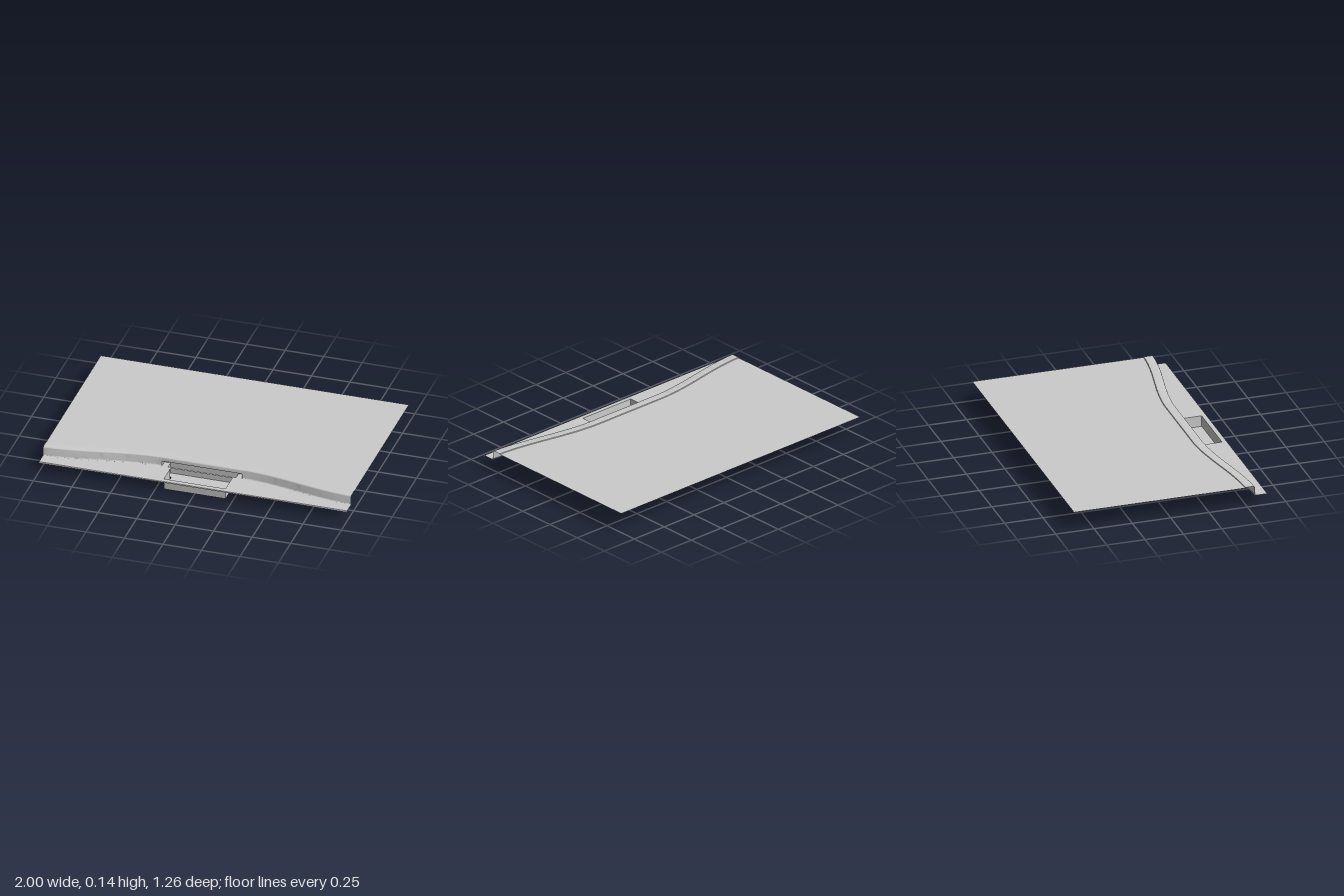
import * as THREE from 'three';
import { toCreasedNormals } from 'three/addons/utils/BufferGeometryUtils.js';

const mat = new THREE.MeshStandardMaterial({ color: 0xcccccc, side: THREE.DoubleSide });
const TOP = 0.135, LEDGE = 0.072, BACK = -0.63, FRONT = 0.626;
const FLAT = 0.28; // half width of the straight middle section

// z of the step's upright face: straight in the middle, sweeping forward to the ends
function stepZ(x) {
  const t = Math.min(1, Math.max(0, (Math.abs(x) - FLAT) / (1 - FLAT)));
  const s = 0.5 - 0.5 * Math.cos(Math.PI * t);
  return 0.45 + 0.1 * (0.75 * s + 0.25 * t);
}

const range = (a, b, n) => Array.from({ length: n + 1 }, (_, i) => a + ((b - a) * i) / n);

// Surface swept along x; profile(x) lists [z, y] from back to front
function sweep(xs, profile) {
  const pos = [], idx = [];
  const rows = xs.map(profile), n = rows[0].length;
  rows.forEach((row, i) => row.forEach(([z, y]) => pos.push(xs[i], y, z)));
  for (let i = 0; i < xs.length - 1; i++) {
    for (let j = 0; j < n - 1; j++) {
      const a = i * n + j, b = a + 1, c = a + n, d = c + 1;
      idx.push(a, b, d, a, d, c);
    }
  }
  const g = new THREE.BufferGeometry();
  g.setAttribute('position', new THREE.Float32BufferAttribute(pos, 3));
  g.setIndex(idx);
  return toCreasedNormals(g, 0.6);
}

// Rounded upper edge of the step, starting at the seam with the sheet
function nosing(x) {
  const z = stepZ(x), r = 0.012;
  const pts = [[z - 0.065, TOP - 0.004], [z - 0.062, TOP]];
  for (const a of range(0, Math.PI / 2, 5)) {
    pts.push([z - r + r * Math.sin(a), TOP - r + r * Math.cos(a)]);
  }
  return pts;
}

// Full step: nosing, upright and a small fillet onto the ledge
function fullStep(x) {
  const z = stepZ(x), r = 0.008;
  const fillet = range(0, Math.PI / 2, 3).map((a) => [z + r - r * Math.cos(a), LEDGE + r - r * Math.sin(a)]);
  return [...nosing(x), ...fillet];
}

// Flat horizontal surface from an outline of [x, z], with optional holes
function plate(outline, y, holes = []) {
  const toV = (p) => p.map(([x, z]) => new THREE.Vector2(x, -z));
  const shape = new THREE.Shape(toV(outline));
  holes.forEach((h) => shape.holes.push(new THREE.Path(toV(h))));
  return new THREE.ShapeGeometry(shape).rotateX(-Math.PI / 2).translate(0, y, 0);
}

const rect = (x0, x1, z0, z1) => [[x0, z1], [x1, z1], [x1, z0], [x0, z0]];

export function createModel() {
  const model = new THREE.Group();
  const add = (name, geometry, parent = model) => {
    const mesh = new THREE.Mesh(geometry, mat);
    mesh.name = name;
    parent.add(mesh);
    return mesh;
  };
  // Upright panel facing front or back, and one facing sideways
  const crossWall = (name, w, y0, y1, z, parent) =>
    add(name, new THREE.PlaneGeometry(w, y1 - y0).translate(0, (y0 + y1) / 2, z), parent);
  const sideWalls = (name, x, y0, y1, z0, z1, parent) => {
    for (const s of [-1, 1]) {
      add(name, new THREE.PlaneGeometry(z1 - z0, y1 - y0)
        .rotateY((s * Math.PI) / 2)
        .translate(s * x, (y0 + y1) / 2, (z0 + z1) / 2), parent);
    }
  };

  // Broad thin sheet, its front edge following the step
  const xs = range(-1, 1, 80);
  const edge = xs.map((x) => [x, stepZ(x) - 0.065]);
  add('topSheet', plate([...edge, [1, BACK], [-1, BACK]], TOP - 0.004));

  // Curved side sections of the step
  add('rightStep', sweep(range(-1, -FLAT, 36), fullStep));
  add('leftStep', sweep(range(FLAT, 1, 36), fullStep));

  // Middle section, open below for the slot
  const SLOT = 0.26, SLOT_TOP = 0.105;
  add('middleStep', sweep([-SLOT, SLOT], (x) => [...nosing(x), [0.45, SLOT_TOP]]));
  for (const s of [-1, 1]) {
    add('slotJamb', sweep(s < 0 ? [-FLAT, -SLOT] : [SLOT, FLAT], fullStep));
  }

  // Low front ledge with the tray opening, and its turned-down lip
  const ledgeBack = xs.map((x) => [x, stepZ(x)]).reverse();
  add('frontLedge', plate([[-1, FRONT], [1, FRONT], ...ledgeBack], LEDGE, [rect(-0.2, 0.2, 0.465, 0.6)]));
  add('frontLip', sweep([-1, -0.48, 0.48, 1], (x) => {
    const drop = Math.abs(x) > 0.5 ? 0.061 : 0.064;
    return [[FRONT, LEDGE], [FRONT + 0.004, LEDGE - 0.001], [FRONT + 0.006, LEDGE - 0.004], [FRONT + 0.006, drop]];
  }));

  // Wide shallow slot behind the middle section
  const slot = new THREE.Group();
  slot.name = 'slot';
  model.add(slot);
  add('slotCeiling', plate(rect(-SLOT, SLOT, 0.4, 0.45), SLOT_TOP), slot);
  crossWall('slotBack', SLOT * 2, LEDGE, SLOT_TOP, 0.4, slot);
  sideWalls('slotEnd', SLOT, LEDGE, SLOT_TOP, 0.4, 0.45, slot);
  for (const s of [-1, 1]) {
    add('slotFloor', plate(rect(s < 0 ? -SLOT : 0.22, s < 0 ? -0.22 : SLOT, 0.4, 0.45), LEDGE), slot);
  }

  // Sunken tray: narrower front part, slightly wider rear part
  const tray = new THREE.Group();
  tray.name = 'tray';
  model.add(tray);
  add('trayFloor', plate([[-0.2, 0.6], [0.2, 0.6], [0.2, 0.45], [0.22, 0.45], [0.22, 0.4],
    [-0.22, 0.4], [-0.22, 0.45], [-0.2, 0.45]], 0), tray);
  crossWall('trayFront', 0.4, 0, LEDGE, 0.6, tray);
  crossWall('trayBack', 0.44, 0, LEDGE, 0.4, tray);
  sideWalls('trayFrontSide', 0.2, 0, LEDGE, 0.47, 0.6, tray);
  sideWalls('trayRearSide', 0.22, 0, LEDGE, 0.4, 0.45, tray);

  return model;
}
